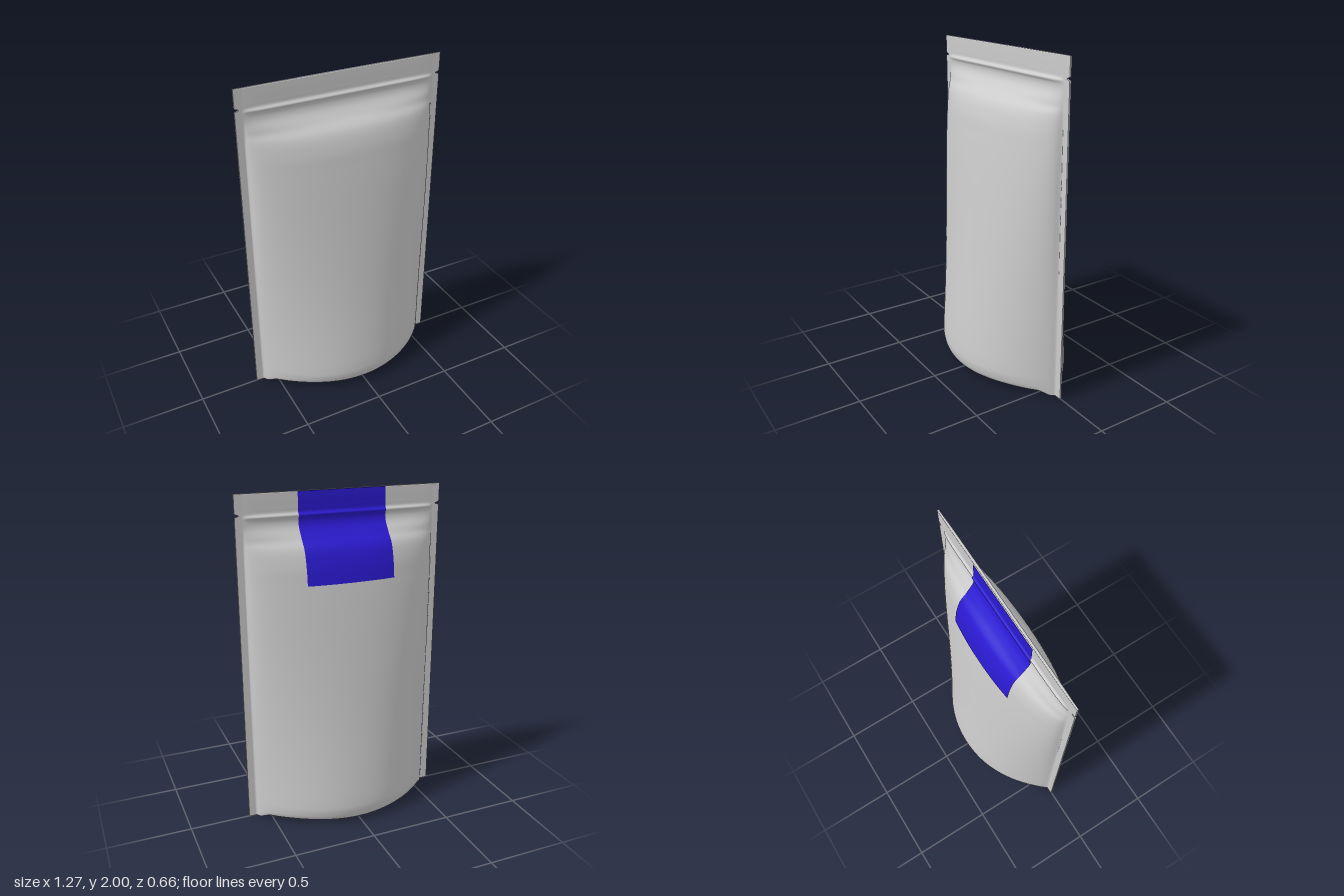
import * as THREE from 'three';

const HALF_WIDTH = 0.633, SEAM = 0.585, EDGE = 0.005;

// Centre profile of one half (depth, height): floor, rounded base, tapering panel, neck, zip ridge, top seal
const profile = [
  [0, 0.02], [0.1, 0.016], [0.2, 0.01], [0.275, 0.012], [0.31, 0.032], [0.327, 0.085], [0.327, 0.14],
  [0.31, 0.3], [0.272, 0.6], [0.224, 1.0], [0.182, 1.35], [0.163, 1.49], [0.145, 1.6], [0.112, 1.69],
  [0.055, 1.75], [0.018, 1.8], [0.009, 1.83], [0.011, 1.85], [0.02, 1.868], [0.007, 1.885],
  [0.006, 1.91], [0.006, 1.96], [0.005, 2.0],
];
const LAST = profile.length - 1, TAPE_START = 11;
const curve = new THREE.CatmullRomCurve3(profile.map(([z, y]) => new THREE.Vector3(0, y, z)), false, 'centripetal');
const step = THREE.MathUtils.smoothstep;

// Point on the pouch skin at across position x and profile parameter t
function skin(x, t) {
  const c = curve.getPoint(t), ax = Math.abs(x), zc = Math.max(c.z, 0);
  // Cross-section: lens with rounded ends, fuller towards the top, flat at the zip
  const u = Math.min(ax / SEAM, 1);
  const power = 2.1 + 8 * step(c.y, 1.72, 1.85);
  const fullness = 0.8 - 0.3 * step(c.y, 0.1, 1.5);
  const z = Math.hypot(zc * (1 - u ** power) ** fullness, Math.min(zc, EDGE));
  // Base edge rises towards the corners, then drops to the side seals
  const low = 1 - step(c.y, 0.03, 0.15);
  let y = c.y + low * (0.015 * step(ax, 0, 0.45) - 0.036 * step(ax, 0.51, 0.595));
  // Pinched folds in the floor corners
  if (t * LAST < 4) y += 0.035 * Math.exp(-(((ax - 0.48) / 0.05) ** 2) - (z / 0.04) ** 2);
  // Tear notch in the side seals
  const notch = 0.025 * Math.exp(-(((c.y - 1.882) / 0.006) ** 2)) * step(ax, 0.59, 0.63);
  return [x - Math.sign(x) * notch, Math.max(y, 0), z];
}

// Rectangular sheet of points from fn(column, row)
function sheet(cols, rows, fn, flip) {
  const pos = [], idx = [];
  for (let j = 0; j <= rows; j++) {
    for (let i = 0; i <= cols; i++) {
      pos.push(...fn(i, j));
      if (i === cols || j === rows) continue;
      const a = j * (cols + 1) + i, b = a + 1, c = a + cols + 1, d = c + 1;
      idx.push(...(flip ? [a, c, b, b, c, d] : [a, b, c, b, d, c]));
    }
  }
  const g = new THREE.BufferGeometry();
  g.setAttribute('position', new THREE.Float32BufferAttribute(pos, 3));
  g.setIndex(idx);
  g.computeVertexNormals();
  return g;
}

export function createModel() {
  const group = new THREE.Group();
  const grey = new THREE.MeshStandardMaterial({ color: 0xcccccc, side: THREE.DoubleSide });
  const blue = new THREE.MeshStandardMaterial({ color: 0x2a1ad0, side: THREE.DoubleSide });
  const add = (name, geometry, material) => {
    const mesh = new THREE.Mesh(geometry, material);
    mesh.name = name;
    group.add(mesh);
  };

  // Front and back halves, each with its half of the floor; outer rows and columns close the seals
  const cols = 142, rows = LAST * 7;
  for (const side of [1, -1]) {
    const half = sheet(cols, rows + 1, (i, j) => {
      const k = THREE.MathUtils.clamp(i, 1, cols - 1);
      const x = HALF_WIDTH * Math.sin(((k - 1) / (cols - 2) - 0.5) * Math.PI);
      const p = skin(x, Math.min(j / rows, 1));
      const rim = i === 0 || i === cols || j > rows;
      return [p[0], p[1], rim ? 0 : side * p[2]];
    }, side < 0);
    add(side > 0 ? 'frontPanel' : 'backPanel', half, grey);
  }

  // Seal tape lying on the upper back panel
  const tapeRows = 80, tapeStart = TAPE_START / LAST;
  add('sealTape', sheet(24, tapeRows, (i, j) => {
    const t = tapeStart + (1 - tapeStart) * (j / tapeRows);
    const [x, y, z] = skin(0.27 * (i / 12 - 1), t);
    return [x, y, -z - 0.006];
  }, true), blue);

  return group;
}
